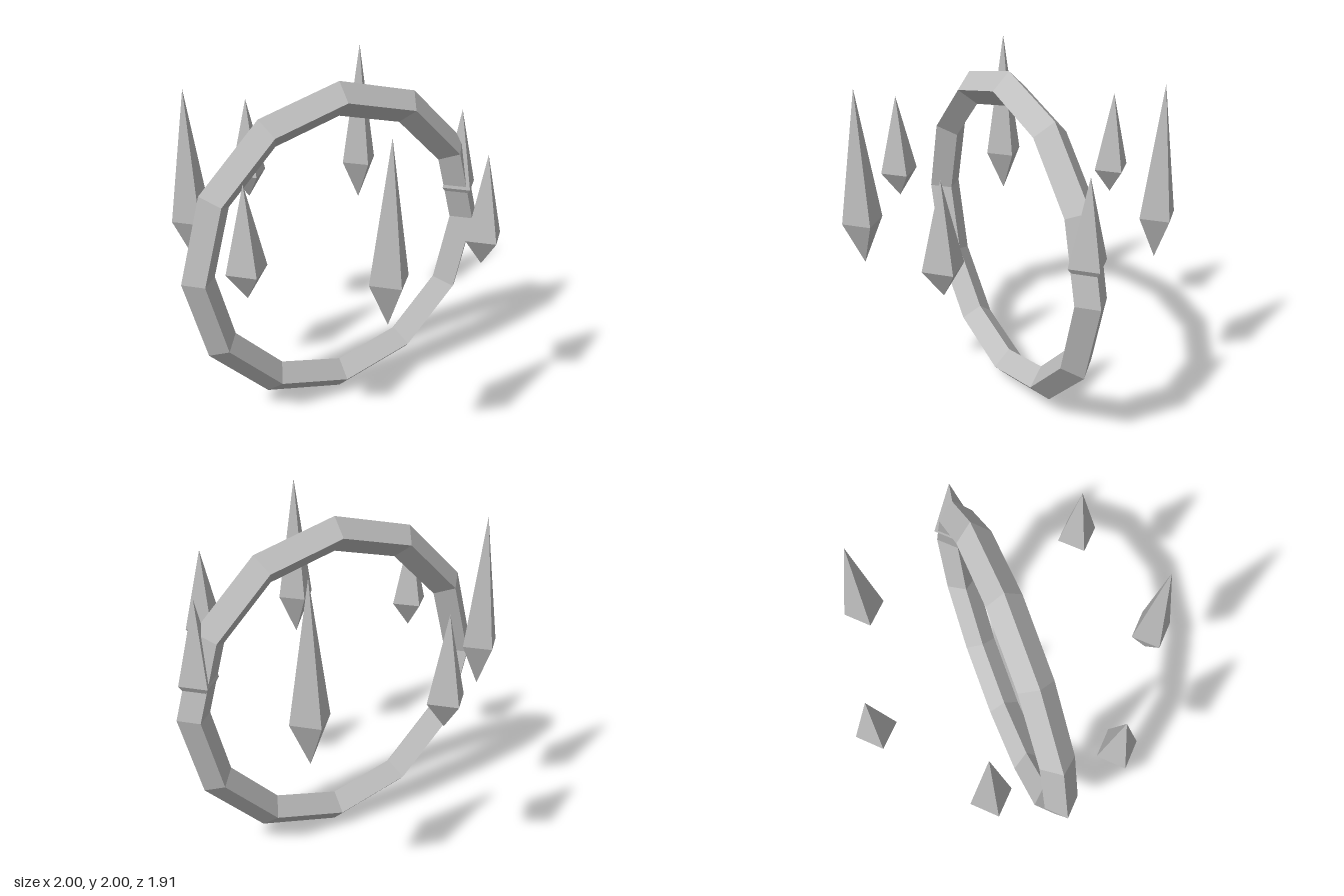
import * as THREE from 'three';

const RING_RADIUS = 0.9;
const TUBE = 0.1;
const SPIKE_COUNT = 7;
const ORBIT = 0.855;
const WAIST_Y = 1.205;
const WAIST_RADIUS = 0.12;

export function createModel() {
  const model = new THREE.Group();
  model.name = 'ringWithCrystals';

  const grey = new THREE.MeshStandardMaterial({ color: 0xbfbfbf, flatShading: true });
  grey.name = 'plain grey';

  // Upright twelve-sided ring with a diamond cross-section
  const ring = new THREE.Mesh(new THREE.TorusGeometry(RING_RADIUS, TUBE, 4, 12), grey);
  ring.name = 'ring';
  ring.position.y = 1;
  model.add(ring);

  // Four-sided crystal: long point up, short point down, joined at the waist
  function crystal(up, down) {
    const group = new THREE.Group();
    const top = new THREE.Mesh(new THREE.ConeGeometry(WAIST_RADIUS, up, 4, 1, true), grey);
    top.name = 'upperPoint';
    top.position.y = up / 2;
    const bottom = new THREE.Mesh(new THREE.ConeGeometry(WAIST_RADIUS, down, 4, 1, true), grey);
    bottom.name = 'lowerPoint';
    bottom.rotation.x = Math.PI;
    bottom.position.y = -down / 2;
    group.add(top, bottom);
    return group;
  }

  // Circle of floating crystals, alternating short and tall
  for (let i = 0; i < SPIKE_COUNT; i++) {
    const angle = (i / SPIKE_COUNT) * Math.PI * 2;
    const tall = i % 2 === 1;
    const spike = tall ? crystal(0.77, 0.265) : crystal(0.485, 0.167);
    spike.name = tall ? 'tallCrystal' : 'shortCrystal';
    spike.position.set(Math.cos(angle) * ORBIT, WAIST_Y, -Math.sin(angle) * ORBIT);
    model.add(spike);
  }

  return model;
}
